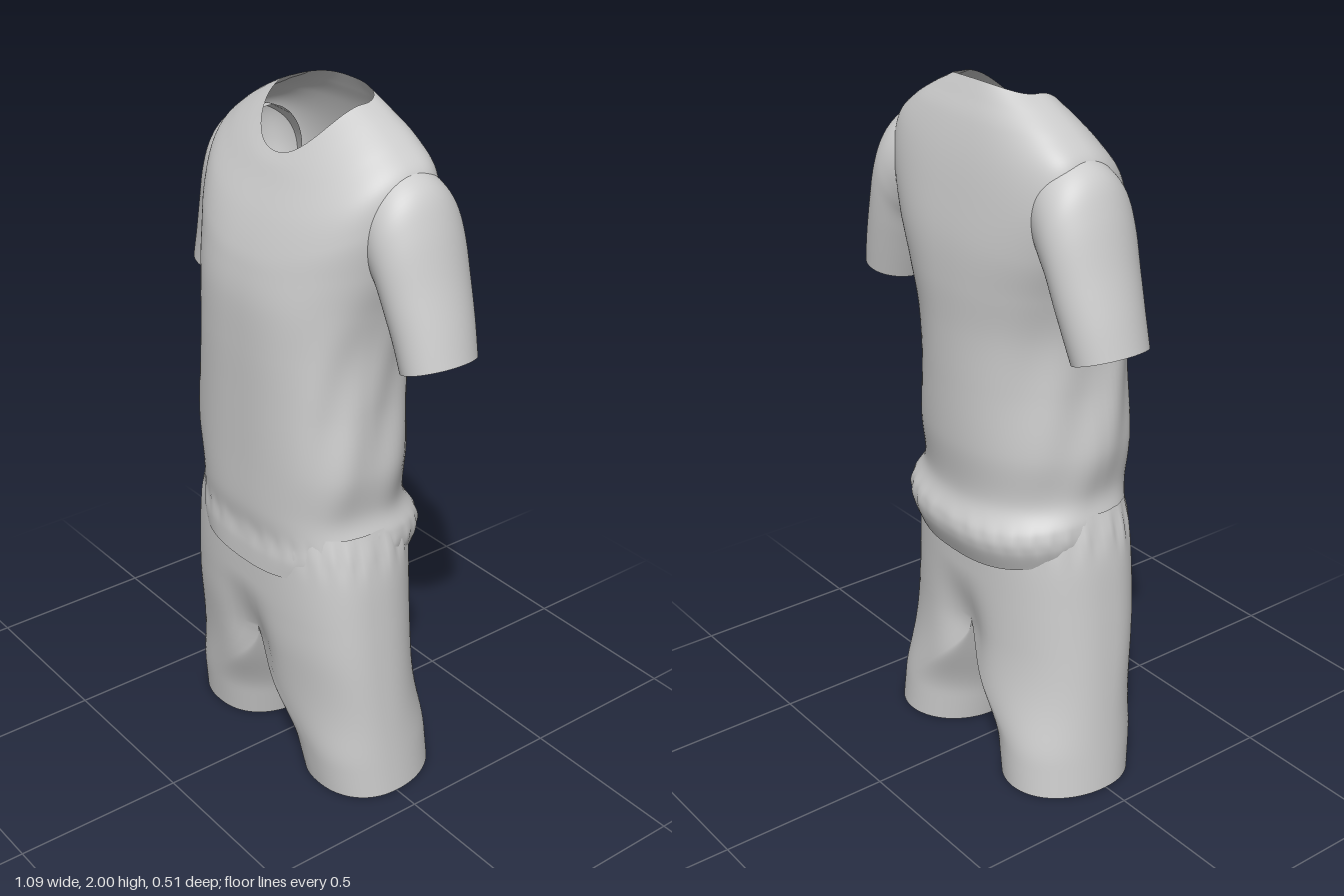
import * as THREE from 'three';

const COLS = 96;
const spow = (v, e) => Math.sign(v) * Math.pow(Math.abs(v), e);
const bump = (v, c, w) => Math.exp(-(((v - c) / w) ** 2));
const smooth = THREE.MathUtils.smoothstep;

// Catmull-Rom blend through rows of key numbers, u in 0..1
function sample(keys, u) {
  const f = u * (keys.length - 1);
  const i = Math.min(Math.floor(f), keys.length - 2), t = f - i;
  const k = (n) => keys[Math.max(0, Math.min(keys.length - 1, n))];
  return keys[i].map((b, c) => {
    const a = k(i - 1)[c], d = k(i + 1)[c], e = k(i + 2)[c];
    return b + 0.5 * t * (d - a + t * (2 * a - 5 * b + 4 * d - e + t * (3 * (b - d) + e - a)));
  });
}

// Open tube skinned through closed rings, running from top to bottom
function loft(keys, rows, point, side = 1) {
  const pos = [], index = [];
  for (let i = 0; i <= rows; i++) {
    const k = sample(keys, i / rows);
    for (let j = 0; j < COLS; j++) {
      const t = (j / COLS) * Math.PI * 2;
      const p = point(k, Math.cos(t), Math.sin(t), t);
      pos.push(p[0] * side, p[1], p[2]);
    }
  }
  for (let i = 0; i < rows; i++) {
    for (let j = 0; j < COLS; j++) {
      const a = i * COLS + j, b = i * COLS + ((j + 1) % COLS), c = a + COLS, d = b + COLS;
      if (side > 0) index.push(a, b, c, b, d, c);
      else index.push(a, c, b, b, c, d);
    }
  }
  const g = new THREE.BufferGeometry();
  g.setAttribute('position', new THREE.Float32BufferAttribute(pos, 3));
  g.setIndex(index);
  g.computeVertexNormals();
  return g;
}

// Shirt body: front y, side y, back y, half width, front z, side z, back z, front and back roundness
const BODY = [
  [1.85, 1.98, 2.0, 0.155, 0.11, -0.05, -0.135, 0.9, 0.8],
  [1.82, 1.95, 1.96, 0.22, 0.128, -0.06, -0.155, 0.85, 0.75],
  [1.775, 1.905, 1.905, 0.295, 0.15, -0.065, -0.18, 0.82, 0.7],
  [1.7, 1.845, 1.82, 0.358, 0.187, -0.068, -0.205, 0.82, 0.7],
  [1.63, 1.74, 1.72, 0.368, 0.215, -0.065, -0.225, 0.82, 0.72],
  [1.57, 1.6, 1.6, 0.345, 0.232, -0.04, -0.242, 0.8, 0.77],
  [1.48, 1.48, 1.48, 0.318, 0.246, -0.01, -0.246, 0.77, 0.85],
  [1.35, 1.35, 1.35, 0.302, 0.25, 0.02, -0.242, 0.75, 0.92],
  [1.2, 1.2, 1.2, 0.307, 0.25, 0.03, -0.24, 0.75, 0.95],
  [1.02, 1.02, 1.02, 0.325, 0.25, 0.03, -0.236, 0.76, 0.95],
  [0.88, 0.89, 0.87, 0.312, 0.25, 0.02, -0.222, 0.76, 0.92],
  [0.8, 0.82, 0.79, 0.328, 0.243, 0.01, -0.25, 0.76, 0.8],
  [0.74, 0.77, 0.74, 0.332, 0.248, 0.01, -0.25, 0.78, 0.8],
  [0.69, 0.72, 0.675, 0.318, 0.25, 0.01, -0.225, 0.8, 0.8],
];

function bodyPoint([yF, yS, yB, hx, zF, zS, zB, eF, eB], c, s, t) {
  const y = yS + ((s > 0 ? yF : yB) - yS) * Math.pow(Math.abs(s), 1.7);
  // soft drape folds on the flanks and a gathered line at the waist
  const drape = 0.018 * Math.sin(9 * t + y * 11) * c * c * bump(y, 1.15, 0.25);
  const gather = 0.01 * Math.sin(30 * t) * bump(y, 0.785, 0.03);
  const r = 1 + drape + gather;
  const e = s > 0 ? eF : eB;
  const depth = ((s > 0 ? zF : zB) - zS) * Math.pow(Math.abs(s), e);
  return [hx * spow(c, e) * r, y, zS + depth * r];
}

// Sleeve: outer x y, inner x y, front z, back z
const SLEEVE = [
  [0.25, 1.875, 0.19, 1.7, 0.03, -0.14],
  [0.335, 1.86, 0.25, 1.61, 0.062, -0.182],
  [0.4, 1.82, 0.29, 1.56, 0.077, -0.198],
  [0.443, 1.735, 0.315, 1.53, 0.075, -0.199],
  [0.485, 1.6, 0.335, 1.48, 0.065, -0.192],
  [0.52, 1.49, 0.36, 1.41, 0.055, -0.182],
  [0.545, 1.4, 0.382, 1.347, 0.05, -0.172],
];

function sleevePoint([ox, oy, ix, iy, zF, zB], c, s) {
  const k = (c + 1) / 2;
  return [ix + (ox - ix) * k, iy + (oy - iy) * k, (zF + zB) / 2 + ((zF - zB) / 2) * s];
}

// Shorts leg: y, outer x, inner x, front z, back z
const LEG = [
  [0.84, 0.325, 0, 0.228, -0.2],
  [0.77, 0.345, 0, 0.235, -0.208],
  [0.69, 0.36, 0, 0.237, -0.208],
  [0.56, 0.373, 0, 0.235, -0.206],
  [0.42, 0.385, 0, 0.225, -0.205],
  [0.2, 0.402, 0.045, 0.19, -0.206],
  [0, 0.42, 0.085, 0.16, -0.21],
];
const CROTCH = 0.43;

// Half a pelvis above the crotch, easing into a round leg below it
function legPoint([y, xo, xi, zF, zB], c, s, t) {
  // the inner half is gathered into the crotch line
  if (c < -1e-6 && y > CROTCH) return [0, CROTCH, 0.01 + 0.15 * s];
  const inner = Math.max(0, xi);
  const w = smooth(y, 0.1, CROTCH);
  // fuller towards the front, rounder behind
  const e = s > 0 ? 0.88 - 0.13 * w : 1 - 0.15 * w;
  const hip = c > 1e-6 ? xo * Math.pow(c, e) : 0;
  const round = (xo + inner) / 2 + ((xo - inner) / 2) * spow(c, e);
  const x = round + (hip - round) * w;
  const dent = 0.2 * bump(x, 0, 0.08) * (1 - smooth(y, 0.38, 0.62)) * w;
  const pucker = 0.014 * Math.sin(26 * t) * Math.max(0, c) * bump(y, 0.78, 0.05);
  const mid = (zF + zB) / 2 + 0.02 * Math.max(0, c);
  const z = mid + ((s > 0 ? zF : zB) - mid) * Math.pow(Math.abs(s), e) * (1 - dent + pucker);
  return [x * (1 + pucker), y, z];
}

// Keep the centre seam of the pelvis smooth across both halves
function smoothSeam(g) {
  const p = g.attributes.position, n = g.attributes.normal;
  for (let i = 0; i < p.count; i++) {
    if (Math.abs(p.getX(i)) > 1e-5 || p.getY(i) <= CROTCH) continue;
    const l = Math.hypot(n.getY(i), n.getZ(i)) || 1;
    n.setXYZ(i, 0, n.getY(i) / l, n.getZ(i) / l);
  }
  return g;
}

export function createModel() {
  const fabric = new THREE.MeshStandardMaterial({ color: 0xcccccc, side: THREE.DoubleSide });
  fabric.name = 'light grey fabric';
  const model = new THREE.Group();
  model.name = 'shirtAndShorts';
  const add = (name, geometry) => {
    const mesh = new THREE.Mesh(geometry, fabric);
    mesh.name = name;
    model.add(mesh);
  };

  add('shirtBody', loft(BODY, 130, bodyPoint));
  for (const [label, side] of [['left', 1], ['right', -1]]) {
    add(label + 'Sleeve', loft(SLEEVE, 36, sleevePoint, side));
    add(label + 'ShortsLeg', smoothSeam(loft(LEG, 72, legPoint, side)));
  }
  return model;
}
